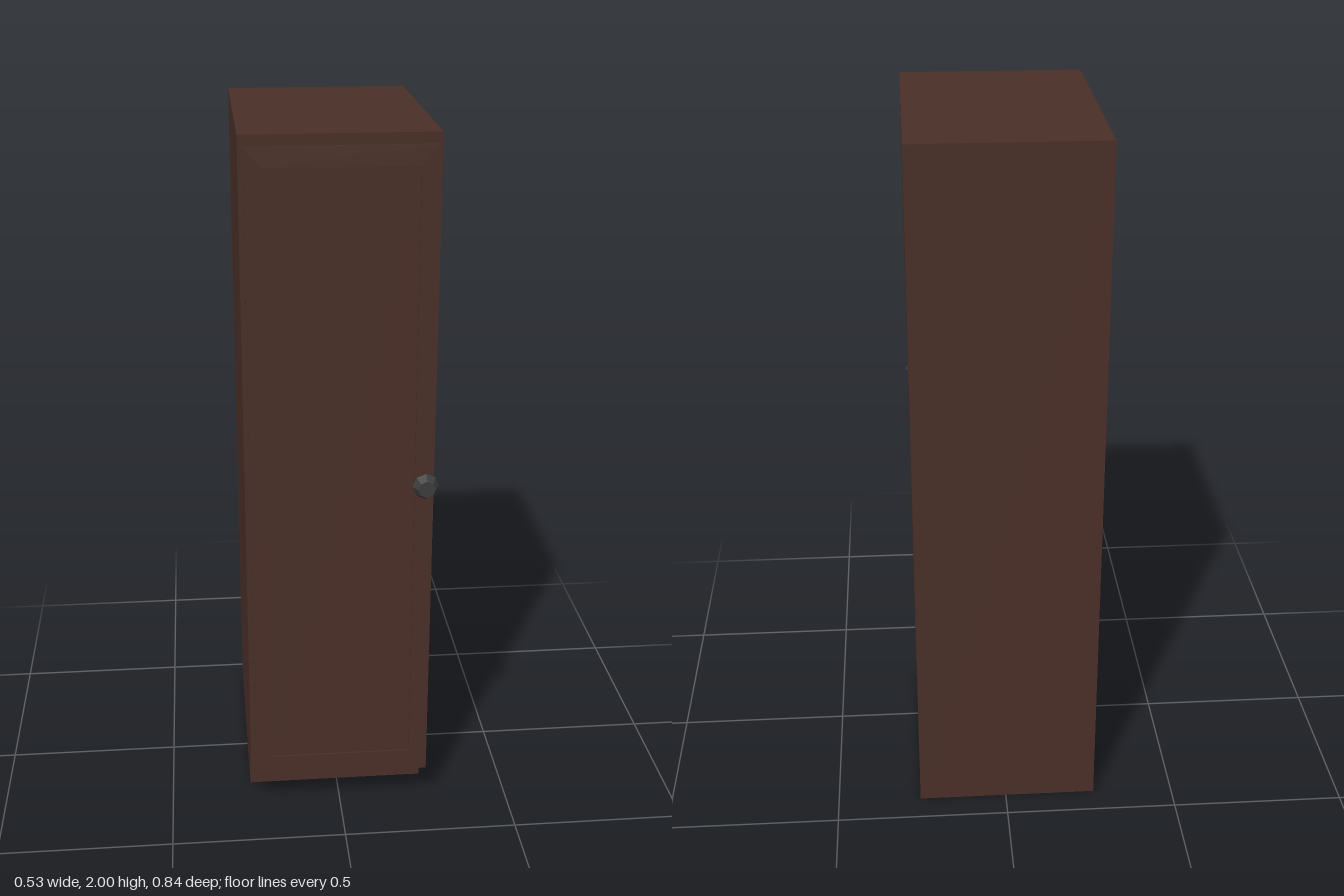
import * as THREE from 'three';

const wood = new THREE.MeshStandardMaterial({ color: 0x4a2f27 });
const metal = new THREE.MeshStandardMaterial({ color: 0x3c3d3e, flatShading: true });

function part(name, geometry, material) {
  const mesh = new THREE.Mesh(geometry, material);
  mesh.name = name;
  return mesh;
}

// Corners of a rectangle, used for the door outline and its opening
function rectangle(x0, y0, x1, y1) {
  return [[x0, y0], [x1, y0], [x1, y1], [x0, y1]].map(([x, y]) => new THREE.Vector2(x, y));
}

export function createModel() {
  const model = new THREE.Group();
  model.name = 'tallCabinet';
  const left = 0.256, right = -0.265, back = -0.42, front = 0.345;

  // Cabinet body: side profile with toe kick, extruded across the width
  const profile = new THREE.Shape([
    [back, 0], [0.215, 0], [0.215, 0.11], [front, 0.11], [front, 2], [back, 2],
  ].map(([z, y]) => new THREE.Vector2(z, y)));
  const body = new THREE.ExtrudeGeometry(profile, { depth: left - right, bevelEnabled: false });
  body.rotateY(-Math.PI / 2).translate(left, 0, 0);
  model.add(part('cabinetBody', body, wood));

  // Door: a thin frame around a slightly recessed panel
  const door = new THREE.Group();
  door.name = 'door';
  const frameShape = new THREE.Shape(rectangle(-0.251, 0.125, 0.251, 1.97));
  frameShape.holes.push(new THREE.Path(rectangle(-0.205, 0.18, 0.202, 1.917)));
  const frame = new THREE.ExtrudeGeometry(frameShape, { depth: 0.008, bevelEnabled: false });
  frame.translate(0, 0, front);
  const panel = new THREE.BoxGeometry(0.407, 1.737, 0.004);
  panel.translate(-0.0015, 1.0485, front);
  door.add(part('doorFrame', frame, wood), part('doorPanel', panel, wood));
  model.add(door);

  // Knob: faceted head on a short stem
  const knob = new THREE.LatheGeometry([
    [0, 0], [0.012, 0], [0.012, 0.02], [0.024, 0.02], [0.037, 0.043], [0.024, 0.067], [0, 0.067],
  ].map(([r, y]) => new THREE.Vector2(r, y)), 8);
  knob.rotateX(Math.PI / 2).translate(0.226, 1.05, 0.352);
  model.add(part('doorKnob', knob, metal));

  return model;
}
